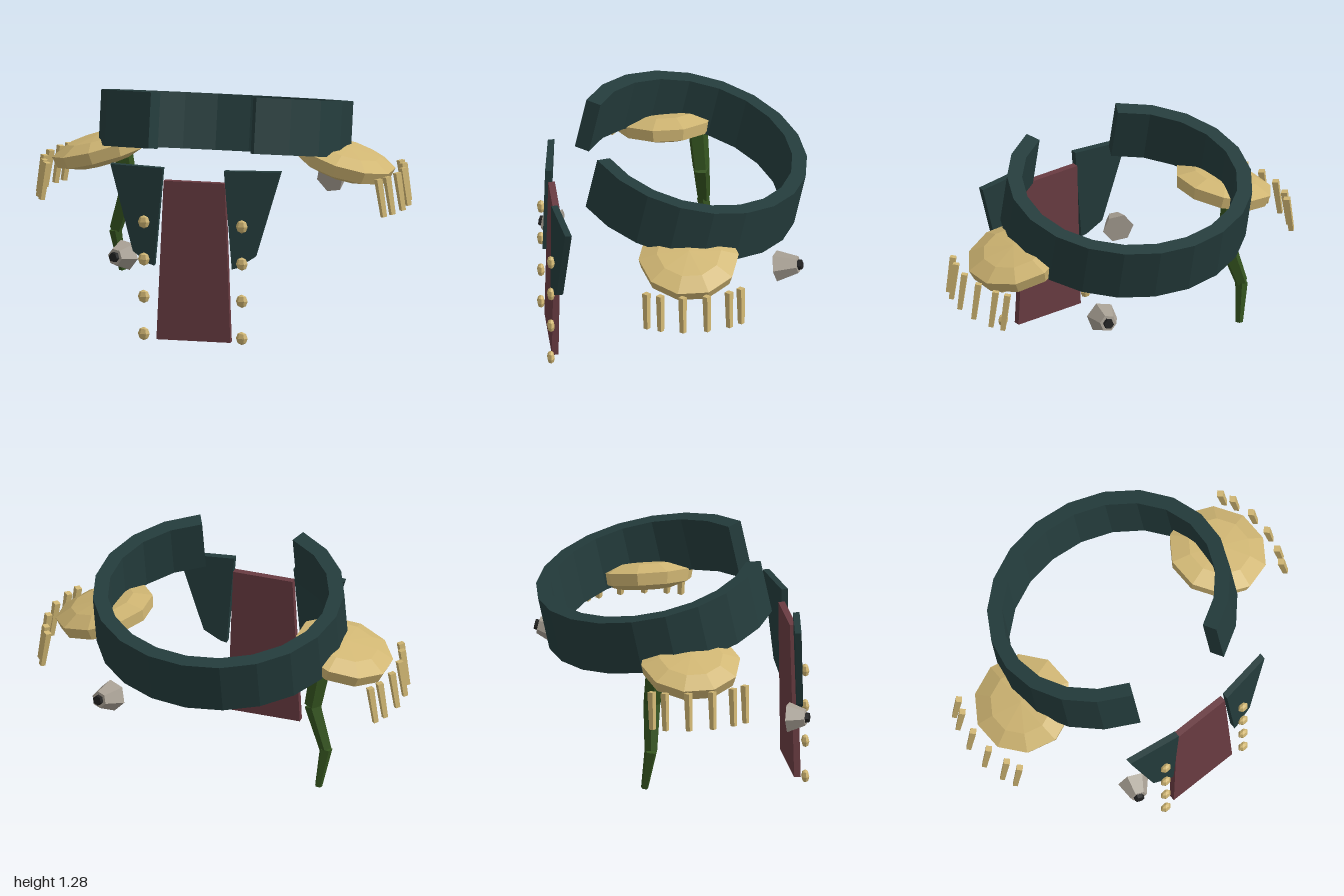
import * as THREE from 'three';

const mat = (color) => new THREE.MeshStandardMaterial({ color, flatShading: true });
const V = (x, y, z) => new THREE.Vector3(x, y, z);

export function createModel() {
  const model = new THREE.Group();
  const teal = mat(0x243c3c), red = mat(0x6a3c42), gold = mat(0xd0b673);
  const moss = mat(0x34531f), grey = mat(0xa8a094), dark = mat(0x222222);

  const add = (name, geometry, material, parent = model) => {
    const mesh = new THREE.Mesh(geometry, material);
    mesh.name = name;
    parent.add(mesh);
    return mesh;
  };

  // Tapered bar between two points
  const bar = (name, a, b, ra, rb, sides, material, parent) => {
    const dir = b.clone().sub(a);
    const mesh = add(name, new THREE.CylinderGeometry(rb, ra, dir.length(), sides), material, parent);
    mesh.position.copy(a).add(b).multiplyScalar(0.5);
    mesh.quaternion.setFromUnitVectors(V(0, 1, 0), dir.normalize());
    return mesh;
  };

  // Flat panel from an outline, with its depth sheared by a rule
  const panel = (name, outline, material, zAt) => {
    const depth = 0.035;
    const shape = new THREE.Shape(outline.map(([x, y]) => new THREE.Vector2(x, y)));
    const g = new THREE.ExtrudeGeometry(shape, { depth, bevelEnabled: false });
    const p = g.attributes.position;
    for (let i = 0; i < p.count; i++) {
      p.setZ(i, p.getZ(i) - depth / 2 + zAt(p.getX(i), p.getY(i)));
    }
    g.computeVertexNormals();
    return add(name, g, material);
  };

  // Tilted collar, open at the front
  const open = 0.44, steps = 18, height = 0.296;
  const outer = [], inner = [];
  for (let i = 0; i <= steps; i++) {
    const t = open + (i / steps) * (2 * Math.PI - 2 * open);
    outer.push(new THREE.Vector2(0.67 * Math.sin(t), -0.61 * Math.cos(t)));
    inner.unshift(new THREE.Vector2(0.59 * Math.sin(t), -0.53 * Math.cos(t)));
  }
  const collarShape = new THREE.Shape([...outer, ...inner]);
  const collarGeometry = new THREE.ExtrudeGeometry(collarShape, { depth: height, bevelEnabled: false });
  collarGeometry.translate(0, 0, -height / 2).rotateX(-Math.PI / 2);
  const collar = add('collar', collarGeometry, teal);
  collar.position.set(0, 1.031, -0.072);
  collar.rotation.x = -0.208;

  // Front cloth
  panel('frontCloth', [[-0.2, 0.015], [0.2, 0.015], [0.165, 0.865], [-0.165, 0.865]], red,
    (x, y) => 0.651 - 0.02 * y);

  const padProfile = [[0, -0.085], [0.15, -0.07], [0.25, -0.035], [0.265, 0.03], [0.17, 0.068], [0, 0.08]]
    .map(([x, y]) => new THREE.Vector2(x, y));
  const fringe = [[0.91, -0.26], [0.94, -0.195], [0.967, -0.075], [0.967, 0.053], [0.94, 0.168], [0.91, 0.238]];

  for (const s of [1, -1]) {
    const side = s > 0 ? 'left' : 'right';

    // Lapel beside the cloth, swept back at its outer edge
    panel(side + 'Lapel',
      [[0.165, 0.935], [0.21, 0.412], [0.24, 0.42], [0.33, 0.48], [0.46, 0.935]].map(([x, y]) => [s * x, y]),
      teal, (x, y) => 0.65 + 0.03 * (0.93 - y) - 0.15 * (Math.abs(x) - 0.17));

    // Shoulder pad
    const pad = add(side + 'ShoulderPad', new THREE.LatheGeometry(padProfile, 10), gold);
    pad.position.set(s * 0.66, 0.875, -0.008);
    pad.rotation.z = -s * 0.28;

    // Fringe hanging off the pad
    const tassels = new THREE.Group();
    tassels.name = side + 'Fringe';
    model.add(tassels);
    for (const [x, z] of fringe) {
      bar('tassel', V(s * (x - 0.014), 0.84, z), V(s * (x + 0.016), 0.64, z), 0.023, 0.018, 4, gold, tassels);
    }

    // Studs down the front
    for (let i = 0; i < 4; i++) {
      const stud = add(side + 'Stud', new THREE.SphereGeometry(1, 6, 4), gold);
      stud.scale.set(0.032, 0.036, 0.022);
      stud.position.set(s * 0.265, 0.045 + 0.2 * i, 0.68);
    }
  }

  // Crooked vine under the right shoulder pad
  const vine = [[-0.595, 0.86, -0.18, 0.055], [-0.558, 0.64, -0.195, 0.047],
    [-0.635, 0.4, -0.215, 0.035], [-0.603, 0.18, -0.242, 0.02]];
  for (let i = 0; i < 3; i++) {
    const [ax, ay, az, ar] = vine[i], [bx, by, bz, br] = vine[i + 1];
    bar('vineSegment', V(ax, ay, az), V(bx, by, bz), ar, br, 5, moss);
  }

  // Tapered pods with dark tips
  const pod = (name, base, tip) => {
    const group = new THREE.Group();
    group.name = name;
    model.add(group);
    const dir = tip.clone().sub(base).normalize();
    bar('podBody', base, tip, 0.083, 0.045, 6, grey, group);
    bar('podTip', tip.clone().addScaledVector(dir, -0.01), tip.clone().addScaledVector(dir, 0.02),
      0.03, 0.026, 6, dark, group);
  };
  pod('frontPod', V(-0.393, 0.437, 0.565), V(-0.428, 0.442, 0.652));
  pod('backPod', V(0.455, 0.672, -0.495), V(0.492, 0.697, -0.605));

  return model;
}
